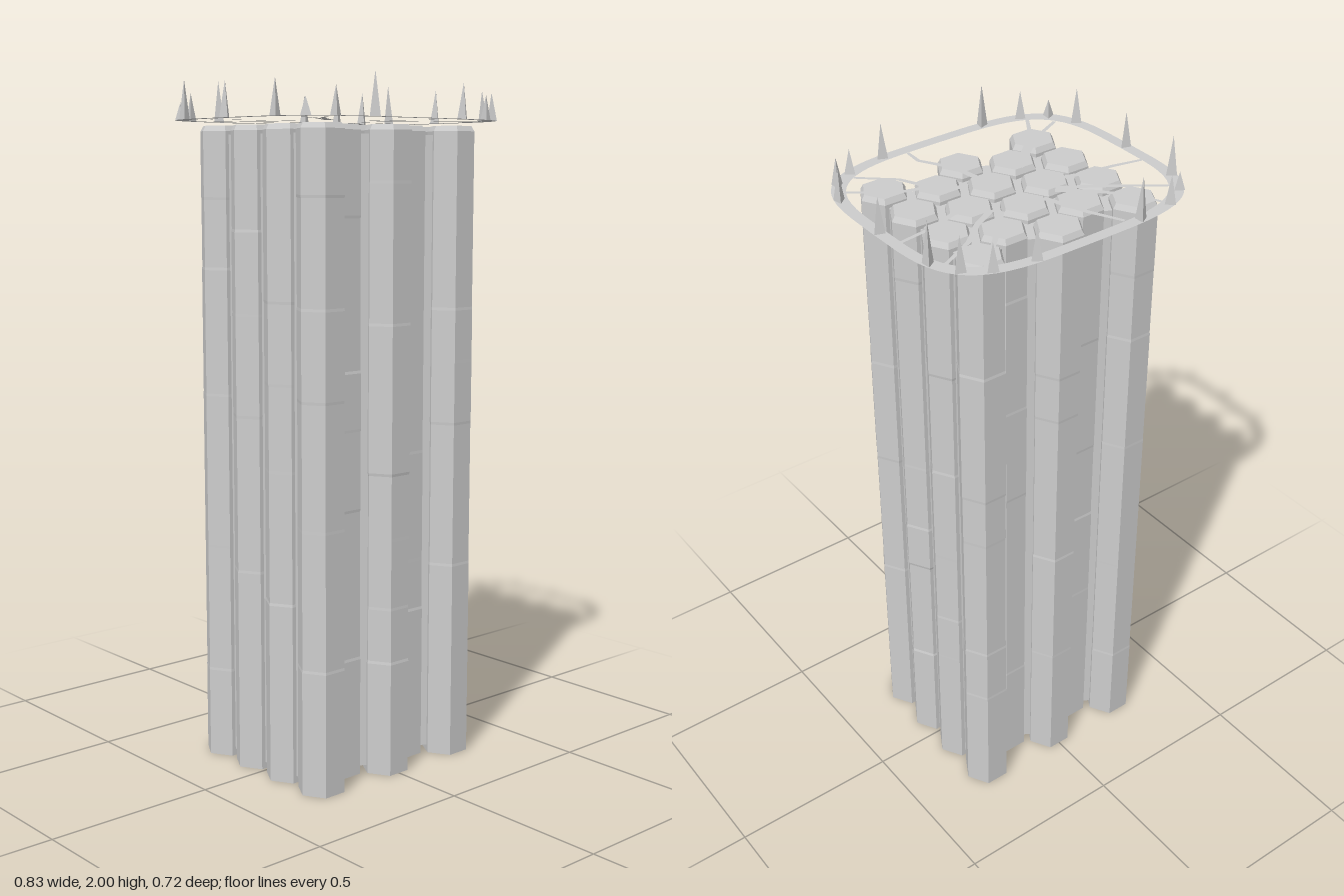
import * as THREE from 'three';

const PITCH = 0.143;          // distance between neighbouring column axes
const TOP = 1.865;            // column height
const RING_Y = 1.88;          // level of the rim and the strands

function seeded(seed) {
  return () => {
    seed = (seed * 16807) % 2147483647;
    return seed / 2147483647;
  };
}

export function createModel() {
  const rand = seeded(4711);
  const model = new THREE.Group();
  const stone = new THREE.MeshStandardMaterial({ color: 0xcccccc, flatShading: true });
  const sheet = new THREE.MeshStandardMaterial({ color: 0xcccccc, side: THREE.DoubleSide });
  stone.name = 'grey stone';
  sheet.name = 'grey sheet';

  const add = (name, geometry, material, parent = model) => {
    const mesh = new THREE.Mesh(geometry, material);
    mesh.name = name;
    parent.add(mesh);
    return mesh;
  };
  const group = (name) => {
    const g = new THREE.Group();
    g.name = name;
    model.add(g);
    return g;
  };

  // Axes of the hexagonal columns: 4, 3, 4, 3, 4
  const axes = [];
  for (let c = -2; c <= 2; c++) {
    const n = c % 2 ? 3 : 4;
    for (let i = 0; i < n; i++) {
      axes.push(new THREE.Vector2(c * PITCH * Math.sqrt(3) / 2, (i - (n - 1) / 2) * PITCH));
    }
  }

  // Columns: stacked drums with slightly different radii and a chamfered top
  const columns = group('columns');
  for (const a of axes) {
    let r = 0.07;
    const profile = [[0, 0], [r, 0]];
    for (let y = 0.25 + rand() * 0.35; y < 1.78; y += 0.14 + rand() * 0.36) {
      profile.push([r, y]);
      r = 0.0675 + rand() * 0.0025;
      profile.push([r, y + 0.008]);
    }
    profile.push([r, TOP - 0.015], [r - 0.009, TOP], [0, TOP]);
    const points = profile.map(([x, y]) => new THREE.Vector2(x, y));
    const column = add('column', new THREE.LatheGeometry(points, 6, Math.PI / 2), stone, columns);
    column.position.set(a.x, 0, a.y);
  }

  // Filling between columns: webs between pairs, cores where three meet
  const filling = group('filling');
  const near = (a, b) => a !== b && a.distanceTo(b) < PITCH * 1.05;
  const fillHeight = TOP - 0.045;
  axes.forEach((a, i) => axes.slice(i + 1).forEach((b, j) => {
    if (!near(a, b)) return;
    const web = add('web', new THREE.BoxGeometry(0.03, fillHeight, 0.045), stone, filling);
    web.position.set((a.x + b.x) / 2, 0.02 + fillHeight / 2, (a.y + b.y) / 2);
    web.rotation.y = -Math.atan2(b.y - a.y, b.x - a.x);
    for (const c of axes.slice(i + j + 2)) {
      if (!near(a, c) || !near(b, c)) continue;
      const core = add('core', new THREE.CylinderGeometry(0.025, 0.025, fillHeight, 6), stone, filling);
      core.position.set((a.x + b.x + c.x) / 3, 0.02 + fillHeight / 2, (a.y + b.y + c.y) / 3);
    }
  }));

  // Flat rounded rim floating around the column tops
  const outline = (rx, rz) => {
    const pts = [];
    for (let i = 0; i < 64; i++) {
      const t = i / 64 * Math.PI * 2, c = Math.cos(t), s = Math.sin(t);
      pts.push(new THREE.Vector2(
        rx * Math.sign(c) * Math.abs(c) ** 0.53,
        rz * Math.sign(s) * Math.abs(s) ** 0.53));
    }
    return pts;
  };
  const rimShape = new THREE.Shape(outline(0.417, 0.358));
  rimShape.holes.push(new THREE.Path(outline(0.383, 0.324)));
  const rim = add('rim', new THREE.ShapeGeometry(rimShape), sheet);
  rim.rotation.x = -Math.PI / 2;
  rim.position.y = RING_Y;

  // Strands: flat tapering ribbons from the rim inwards
  const paths = [
    [[-0.35, -0.245], [-0.24, -0.165], [-0.16, -0.11], [-0.1, -0.075]],
    [[-0.275, -0.305], [-0.24, -0.23], [-0.165, -0.145], [-0.09, -0.085]],
    [[-0.13, -0.317], [-0.085, -0.225], [-0.04, -0.1]],
    [[-0.385, -0.087], [-0.3, -0.068], [-0.2, -0.052], [-0.115, -0.03]],
    [[0.29, -0.295], [0.19, -0.2], [0.09, -0.09]],
    [[0.36, -0.225], [0.25, -0.17], [0.18, -0.11], [0.105, -0.07]],
    [[0.385, -0.07], [0.27, -0.055], [0.2, -0.03], [0.11, -0.02]],
    [[-0.345, 0.24], [-0.25, 0.195], [-0.17, 0.135], [-0.095, 0.075]],
    [[-0.29, 0.295], [-0.24, 0.215], [-0.16, 0.14], [-0.1, 0.09]],
    [[0.095, 0.325], [0.098, 0.27], [0.045, 0.18], [0.03, 0.095]],
    [[0.29, 0.29], [0.2, 0.21], [0.16, 0.13], [0.09, 0.07]],
    [[0.355, 0.235], [0.25, 0.155], [0.17, 0.13], [0.1, 0.08]],
  ];
  const strands = group('strands');
  for (const path of paths) {
    const left = [], right = [];
    path.forEach(([x, z], i) => {
      const p = path[Math.max(i - 1, 0)], q = path[Math.min(i + 1, path.length - 1)];
      const dir = new THREE.Vector2(q[0] - p[0], p[1] - q[1]).normalize();
      const half = 0.005 + 0.0045 * i / (path.length - 1);
      left.push(new THREE.Vector2(x - dir.y * half, -z + dir.x * half));
      right.unshift(new THREE.Vector2(x + dir.y * half, -z - dir.x * half));
    });
    const strand = add('strand', new THREE.ShapeGeometry(new THREE.Shape([...left, ...right])), sheet, strands);
    strand.rotation.x = -Math.PI / 2;
    strand.position.y = RING_Y - 0.002;
  }

  // Spikes on the rim: x, z, height, direction of the corner edge
  const spikes = [
    [-0.39, -0.2, 0.11, 1], [-0.35, -0.275, 0.05, 1], [-0.28, -0.32, 0.08, 1], [-0.165, -0.34, 0.12, -1],
    [0.168, -0.34, 0.09, 1], [0.285, -0.32, 0.08, 1], [0.35, -0.275, 0.1, 1], [0.39, -0.2, 0.12, -1],
    [0.4, 0, 0.1, 1], [0.39, 0.2, 0.09, -1], [0.35, 0.275, 0.08, -1], [0.285, 0.315, 0.07, 1],
    [0.168, 0.34, 0.1, 1], [-0.165, 0.34, 0.12, -1], [-0.28, 0.315, 0.08, 1], [-0.35, 0.275, 0.05, -1],
    [-0.39, 0.2, 0.1, 1], [-0.4, 0, 0.1, 1],
  ];
  const crown = group('spikes');
  for (const [x, z, h, dir] of spikes) {
    const spike = add('spike', new THREE.ConeGeometry(0.017, h, 3), stone, crown);
    spike.position.set(x, RING_Y + h / 2, z);
    spike.rotation.y = dir * Math.PI / 2 + (rand() - 0.5) * 0.5;
  }

  return model;
}
